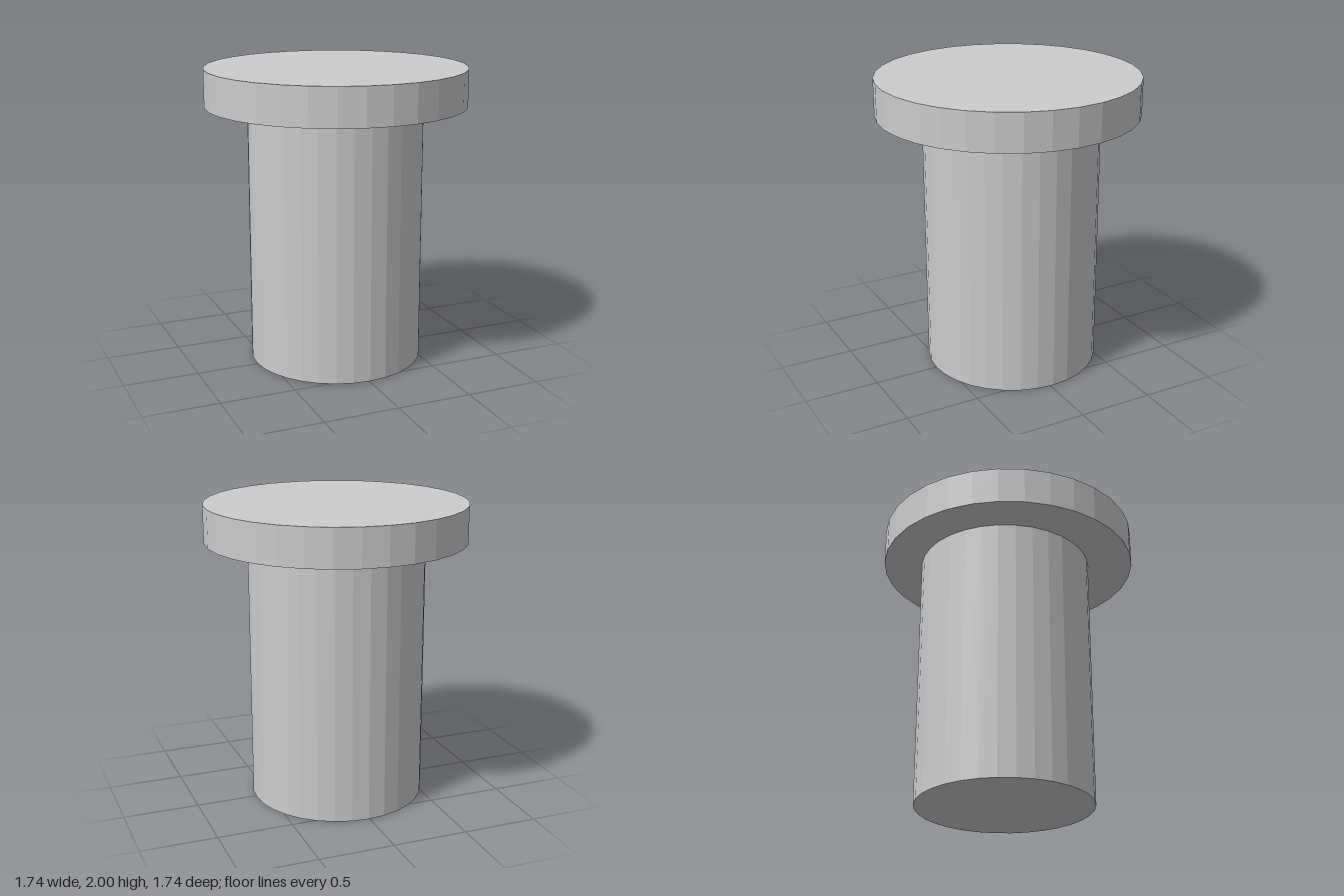
import * as THREE from 'three';

const SIDES = 32;

export function createModel() {
  const group = new THREE.Group();
  const material = new THREE.MeshStandardMaterial({ color: 0xcccccc, flatShading: true });

  // Upright faceted disc or post between two heights
  function addCylinder(name, radius, bottom, top, x = 0, z = 0) {
    const geometry = new THREE.CylinderGeometry(radius, radius, top - bottom, SIDES);
    const mesh = new THREE.Mesh(geometry, material);
    mesh.name = name;
    mesh.position.set(x, (bottom + top) / 2, z);
    group.add(mesh);
  }

  // Shaft, set slightly off the head's axis
  addCylinder('shaft', 0.585, 0, 1.75, 0.006, -0.022);

  // Wide flat head
  addCylinder('head', 0.868, 1.75, 2);

  return group;
}
